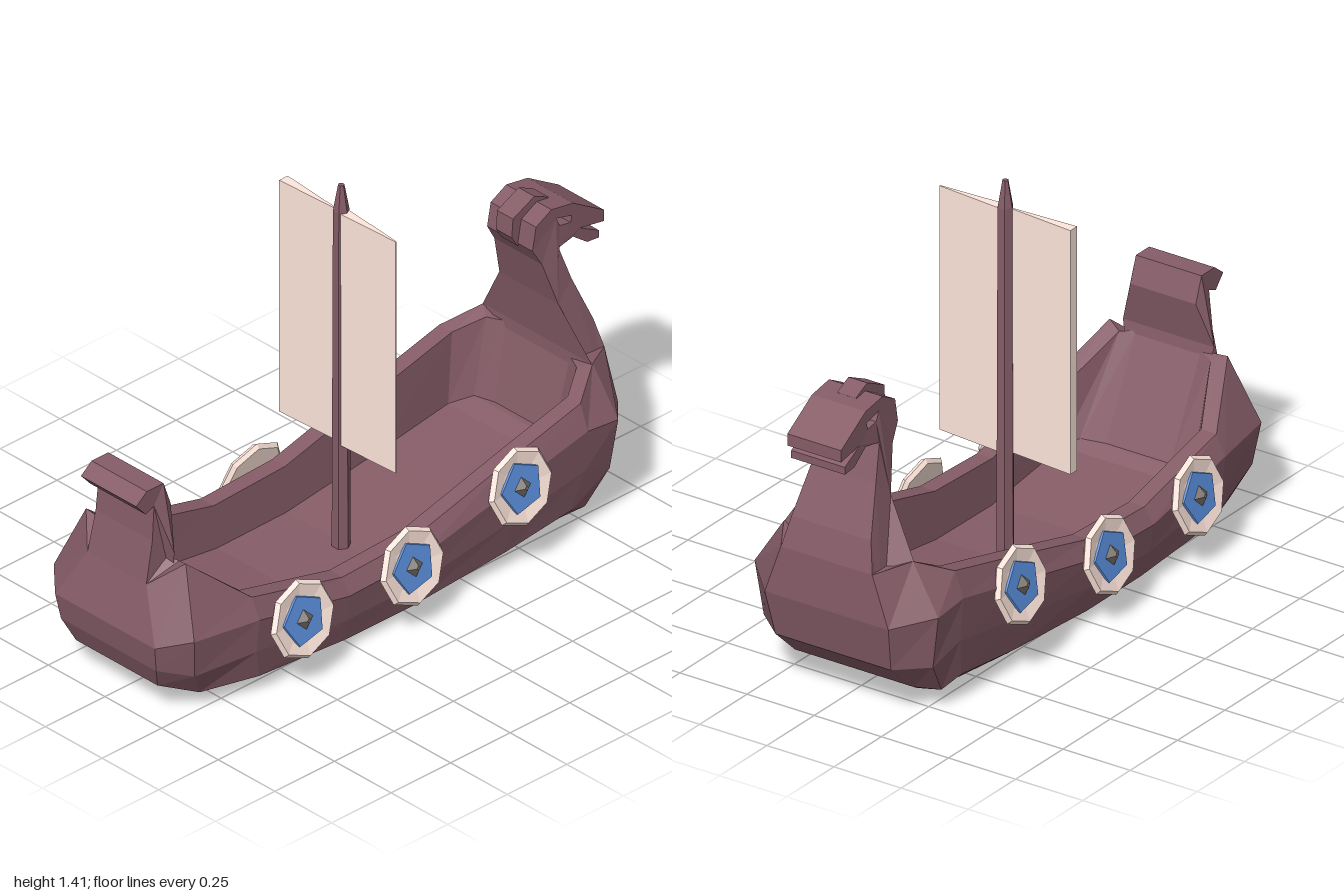
import * as THREE from 'three';

const mat = (color) => new THREE.MeshStandardMaterial({ color, flatShading: true, side: THREE.DoubleSide });
const WOOD = mat(0x855c67), CLOTH = mat(0xffe6dc), BLUE = mat(0x5a8edc), IRON = mat(0x6e6862);

function add(parent, name, geometry, material, x = 0, y = 0, z = 0) {
  const mesh = new THREE.Mesh(geometry, material);
  mesh.name = name;
  mesh.position.set(x, y, z);
  parent.add(mesh);
  return mesh;
}

// Hull: stacked outlines, each with explicit ends and a middle that follows the sheer
const MID_X = [-0.68, -0.3, 0, 0.4, 0.7];
const KEEL_Y = [0.018, 0.003, 0, 0.012, 0.037];
const SHEER_Y = [0.36, 0.268, 0.28, 0.385, 0.46];
// Bottom, bilge, side, widest strake, gunwale, inner edge of the flat rim, floor
const LAYERS = [
  { t: 0, w: 0.25, s: 0.85, stern: [[-0.8, 0.04, 0.12], [-0.75, 0.035, 0.2]], bow: [[0.66, 0.037, 0.23], [0.74, 0.045, 0.2]] },
  { t: 0.13, w: 0.31, s: 0.95, stern: [[-0.95, 0.1, 0.18], [-0.84, 0.06, 0.25]], bow: [[0.74, 0.065, 0.29], [0.79, 0.075, 0.22]] },
  { t: 0.45, w: 0.332, s: 1, stern: [[-0.985, 0.18, 0.21], [-0.9, 0.16, 0.29]], bow: [[0.82, 0.18, 0.315], [0.9, 0.175, 0.215]] },
  { t: 0.8, w: 0.345, s: 1, stern: [[-1, 0.27, 0.22], [-0.92, 0.3, 0.31]], bow: [[0.83, 0.36, 0.342], [0.935, 0.33, 0.23]] },
  { t: 1, w: 0.312, s: 1, stern: [[-0.95, 0.44, 0.13], [-0.87, 0.52, 0.22]], bow: [[0.82, 0.52, 0.24], [0.935, 0.5, 0.17]] },
  { t: 1, w: 0.255, s: 1, stern: [[-0.87, 0.51, 0.12], [-0.85, 0.5, 0.17]], bow: [[0.79, 0.5, 0.2], [0.82, 0.5, 0.14]] },
  { t: 0.42, w: 0.25, s: 0.97, stern: [[-0.71, 0.19, 0.12], [-0.7, 0.185, 0.21]], bow: [[0.74, 0.24, 0.2], [0.76, 0.24, 0.13]] },
];

function hullGeometry() {
  const rings = LAYERS.map(({ t, w, s, stern, bow }) => {
    const middle = MID_X.map((x, i) => [x * s, THREE.MathUtils.lerp(KEEL_Y[i], SHEER_Y[i], t), w]);
    const half = [...stern, ...middle, ...bow];
    return [...half, ...half.map(([x, y, z]) => [x, y, -z]).reverse()];
  });
  const n = rings[0].length, index = [];
  const quad = (a, b, c, d) => index.push(a, b, c, a, c, d);
  for (let k = 0; k < rings.length - 1; k++) {
    for (let i = 0; i < n; i++) {
      const j = (i + 1) % n;
      quad(k * n + i, k * n + j, (k + 1) * n + j, (k + 1) * n + i);
    }
  }
  // bottom and inner floor
  const top = (rings.length - 1) * n;
  for (let i = 0; i < n / 2 - 1; i++) {
    quad(i, n - 1 - i, n - 2 - i, i + 1);
    quad(top + i, top + i + 1, top + n - 2 - i, top + n - 1 - i);
  }
  const g = new THREE.BufferGeometry();
  g.setAttribute('position', new THREE.Float32BufferAttribute(rings.flat(2), 3));
  g.setIndex(index);
  const flat = g.toNonIndexed();
  flat.computeVertexNormals();
  return flat;
}

const vectors = (points) => points.map(([x, y]) => new THREE.Vector2(x, y));

// Side profile of [x, y, half width] points, extruded across z to each point's own width
function carving(profile, hole = []) {
  const shape = new THREE.Shape(vectors(profile));
  if (hole.length) shape.holes.push(new THREE.Path(vectors(hole)));
  const g = new THREE.ExtrudeGeometry(shape, { depth: 2, bevelEnabled: false });
  const p = g.attributes.position, all = [...profile, ...hole];
  for (let i = 0; i < p.count; i++) {
    const x = p.getX(i), y = p.getY(i);
    const hit = all.find((q) => Math.hypot(q[0] - x, q[1] - y) < 1e-4);
    p.setZ(i, (p.getZ(i) - 1) * hit[2]);
  }
  g.computeVertexNormals();
  return g;
}

const PROW = [
  [0.92, 0.34, 0.2], [0.935, 0.5, 0.17], [0.91, 0.6, 0.148], [0.845, 0.76, 0.12], [0.805, 0.88, 0.105],
  [0.87, 0.89, 0.1], [0.93, 0.845, 0.1], [0.98, 0.84, 0.1], [0.98, 0.865, 0.1], [0.9, 0.908, 0.1],
  [1, 0.89, 0.1], [1, 0.93, 0.1], [0.87, 1.01, 0.1], [0.78, 1.025, 0.1], [0.715, 0.99, 0.1],
  [0.7, 0.91, 0.1], [0.735, 0.85, 0.105], [0.78, 0.7, 0.13], [0.815, 0.52, 0.24], [0.815, 0.34, 0.22],
];
const EYE = [[0.8, 0.985, 0.1], [0.865, 0.968, 0.1], [0.86, 0.945, 0.1], [0.815, 0.953, 0.1]];
const TAIL = [
  [-0.94, 0.36, 0.13], [-0.95, 0.44, 0.13], [-0.92, 0.58, 0.125], [-0.91, 0.7, 0.122], [-0.945, 0.685, 0.122],
  [-0.985, 0.73, 0.122], [-0.94, 0.765, 0.122], [-0.87, 0.765, 0.122], [-0.84, 0.68, 0.122],
  [-0.87, 0.535, 0.17], [-0.85, 0.4, 0.14],
];
const CREST = [[0.675, 0.94, 0.035], [0.7, 0.9, 0.035], [0.77, 0.98, 0.035], [0.83, 1.02, 0.035], [0.77, 1.048, 0.035], [0.68, 1.005, 0.035]];

// Octagonal shield facing +z
function makeShield() {
  const shield = new THREE.Group();
  shield.name = 'shield';
  const profile = [[0, -0.012], [0.12, -0.012], [0.132, 0], [0.12, 0.014], [0.08, 0.006], [0, 0.006]];
  const rim = new THREE.LatheGeometry(vectors(profile), 8);
  add(shield, 'shieldRim', rim.rotateX(Math.PI / 2), CLOTH);
  add(shield, 'shieldField', new THREE.CylinderGeometry(0.085, 0.09, 0.014, 5).rotateX(Math.PI / 2).rotateZ(-0.42), BLUE, 0, 0, 0.006);
  add(shield, 'shieldBoss', new THREE.CylinderGeometry(0.008, 0.036, 0.022, 4).rotateX(Math.PI / 2), IRON, 0, 0, 0.022);
  return shield;
}

// One half of the sail: a wedge, thick at zThick and thin at zThin
function sailPanel(zThick, zThin) {
  const shape = new THREE.Shape(vectors([[-0.026, -zThick], [-0.014, -zThin], [-0.01, -zThin], [0.01, -zThick]]));
  return new THREE.ExtrudeGeometry(shape, { depth: 0.83, bevelEnabled: false }).rotateX(-Math.PI / 2);
}

export function createModel() {
  const ship = new THREE.Group();
  ship.name = 'longship';
  add(ship, 'hull', hullGeometry(), WOOD);
  add(ship, 'prowHead', carving(PROW, EYE), WOOD);
  add(ship, 'headCrest', carving(CREST), WOOD);
  add(ship, 'sternTail', carving(TAIL), WOOD);

  // Mast with pointed tip, and sail across the ship
  add(ship, 'mast', new THREE.CylinderGeometry(0.026, 0.03, 1.22, 6), WOOD, -0.008, 0.71);
  add(ship, 'mastTip', new THREE.CylinderGeometry(0.01, 0.026, 0.09, 6), WOOD, -0.008, 1.365);
  add(ship, 'sailBackHalf', sailPanel(-0.255, -0.01), CLOTH, 0, 0.488);
  add(ship, 'sailFrontHalf', sailPanel(0.01, 0.247), CLOTH, 0, 0.488);

  // Three shields along each side, leaning on the hull
  for (const side of [1, -1]) {
    for (const [x, y, z] of [[-0.513, 0.232, 0.358], [-0.05, 0.22, 0.355], [0.41, 0.305, 0.349]]) {
      const shield = makeShield();
      shield.position.set(x, y, side * z);
      // yaw to face outward, then lean the top inboard
      shield.rotation.set(side * -0.21, side > 0 ? 0 : Math.PI, 0);
      ship.add(shield);
    }
  }
  return ship;
}
